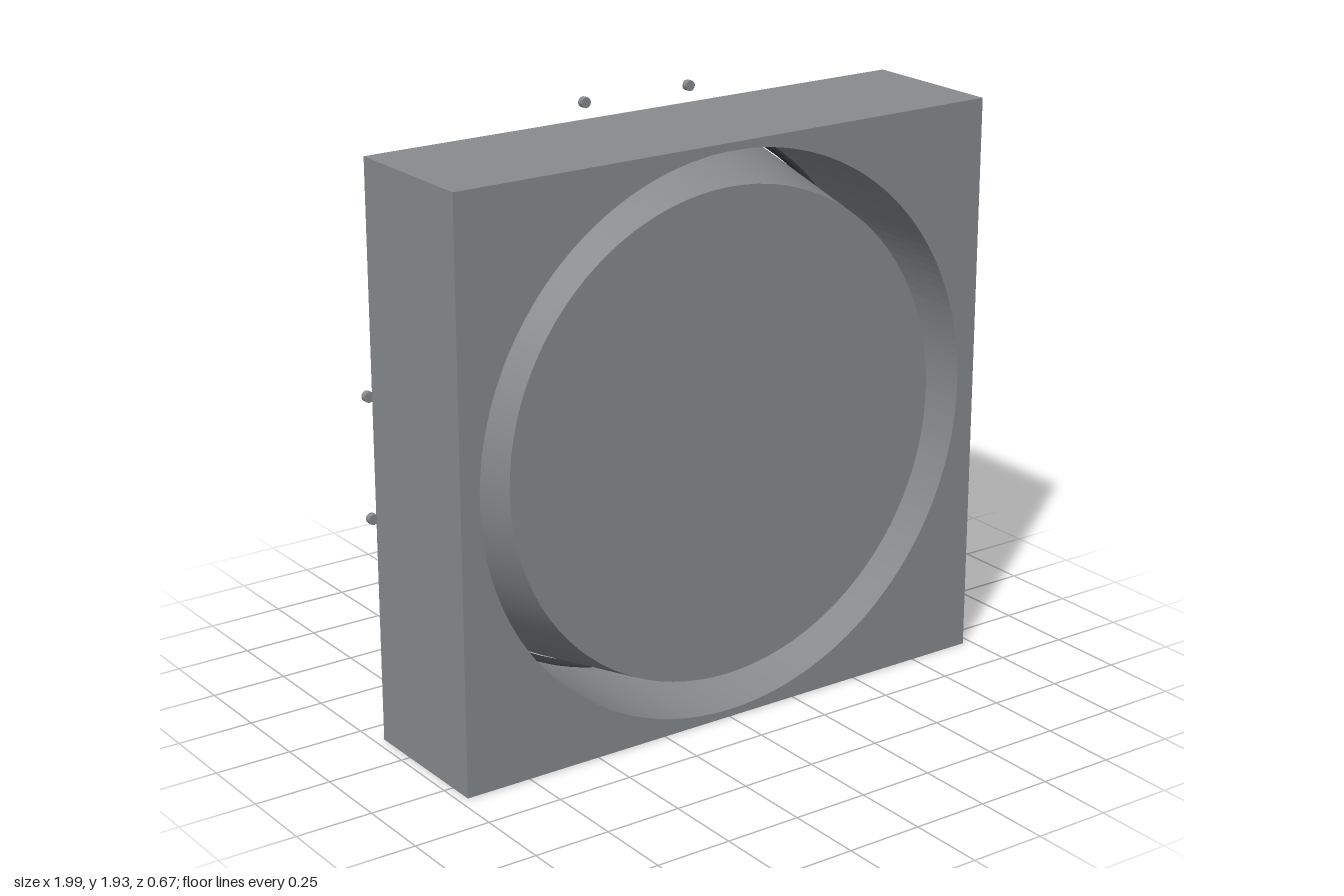
import * as THREE from 'three';

const mat = (color) => new THREE.MeshStandardMaterial({ color });

export function createModel() {
  const root = new THREE.Group();
  root.name = 'vaultDoor';
  const steel = mat(0x888c8f);
  const dark = mat(0x3a3c3e);
  const bright = mat(0xcccccc);
  const CY = 0.93; // height of the door axis

  const add = (name, geometry, material, x, y, z, parent = root) => {
    const mesh = new THREE.Mesh(geometry, material);
    mesh.name = name;
    mesh.position.set(x, y, z);
    parent.add(mesh);
    return mesh;
  };

  // Cylinder along z from z0 (back) to z1 (front)
  const disc = (name, rBack, rFront, z0, z1, material, x = 0, y = CY, sides = 96) => {
    const g = new THREE.CylinderGeometry(rFront, rBack, z1 - z0, sides);
    g.rotateX(Math.PI / 2);
    return add(name, g, material, x, y, (z0 + z1) / 2);
  };

  // Square wall frame with a round bore
  const outline = new THREE.Shape();
  outline.moveTo(-0.97, -0.93);
  outline.lineTo(0.97, -0.93);
  outline.lineTo(0.97, 0.93);
  outline.lineTo(-0.97, 0.93);
  outline.closePath();
  const bore = new THREE.Path();
  bore.absarc(0, 0, 0.905, 0, Math.PI * 2, true);
  outline.holes.push(bore);
  const frameGeo = new THREE.ExtrudeGeometry(outline, {
    depth: 0.49, bevelEnabled: false, curveSegments: 96,
  });
  add('wallFrame', frameGeo, steel, 0, CY, -0.155);

  // Tapered door plug and its rim
  disc('doorPlug', 0.885, 0.79, -0.155, 0.315, steel);
  disc('doorRim', 0.885, 0.885, -0.175, -0.155, steel);

  // Sealing rings
  add('frameSeal', new THREE.TorusGeometry(0.905, 0.017, 12, 96), dark, 0, CY, -0.155);
  add('doorSeal', new THREE.TorusGeometry(0.84, 0.02, 12, 96), dark, 0, CY, -0.185);

  // Ring of frame bolts, leaving out the two below the floor line
  for (let i = 0; i < 16; i++) {
    const a = ((i + 0.5) / 16) * Math.PI * 2;
    const y = CY + Math.sin(a) * 1.0;
    if (y < 0) continue;
    disc('frameBolt', 0.017, 0.017, -0.172, -0.152, steel, Math.cos(a) * 0.98 / Math.cos(Math.PI / 16), y, 12);
  }

  // Ring of door bolts
  for (let i = 0; i < 12; i++) {
    const a = (i / 12) * Math.PI * 2;
    disc('doorBolt', 0.029, 0.029, -0.202, -0.17, steel,
      Math.cos(a) * 0.745, CY + Math.sin(a) * 0.745, 12);
  }

  // Handwheel on its hub
  disc('wheelHub', 0.32, 0.32, -0.205, -0.17, dark, 0, CY, 64);
  disc('wheelShaft', 0.063, 0.063, -0.3, -0.2, bright, 0, CY, 32);
  const wheel = new THREE.Group();
  wheel.name = 'handwheel';
  wheel.position.set(0, CY, -0.319);
  root.add(wheel);
  add('wheelRim', new THREE.TorusGeometry(0.277, 0.016, 12, 64), bright, 0, 0, 0, wheel);
  for (const s of [-1, 1]) {
    const spoke = add('wheelSpoke', new THREE.CylinderGeometry(0.011, 0.011, 0.55, 12), bright, 0, 0, 0, wheel);
    spoke.rotation.z = s * Math.PI / 4;
  }
  const boss = new THREE.CylinderGeometry(0.03, 0.03, 0.036, 24);
  boss.rotateX(Math.PI / 2);
  add('wheelBoss', boss, bright, 0, 0, 0.004, wheel);

  // Control panel
  add('panelCase', new THREE.BoxGeometry(0.25, 0.155, 0.055), dark, 0, 1.437, -0.1975);
  add('panelScreen', new THREE.BoxGeometry(0.2, 0.1, 0.02), dark, 0, 1.437, -0.225);

  // Hinge block and barrel
  add('hingeBlock', new THREE.BoxGeometry(0.275, 0.57, 0.11), dark, -0.7475, 0.935, -0.23);
  add('hingeBarrel', new THREE.CylinderGeometry(0.056, 0.056, 0.73, 32), bright, -0.836, 0.935, -0.237);

  return root;
}
